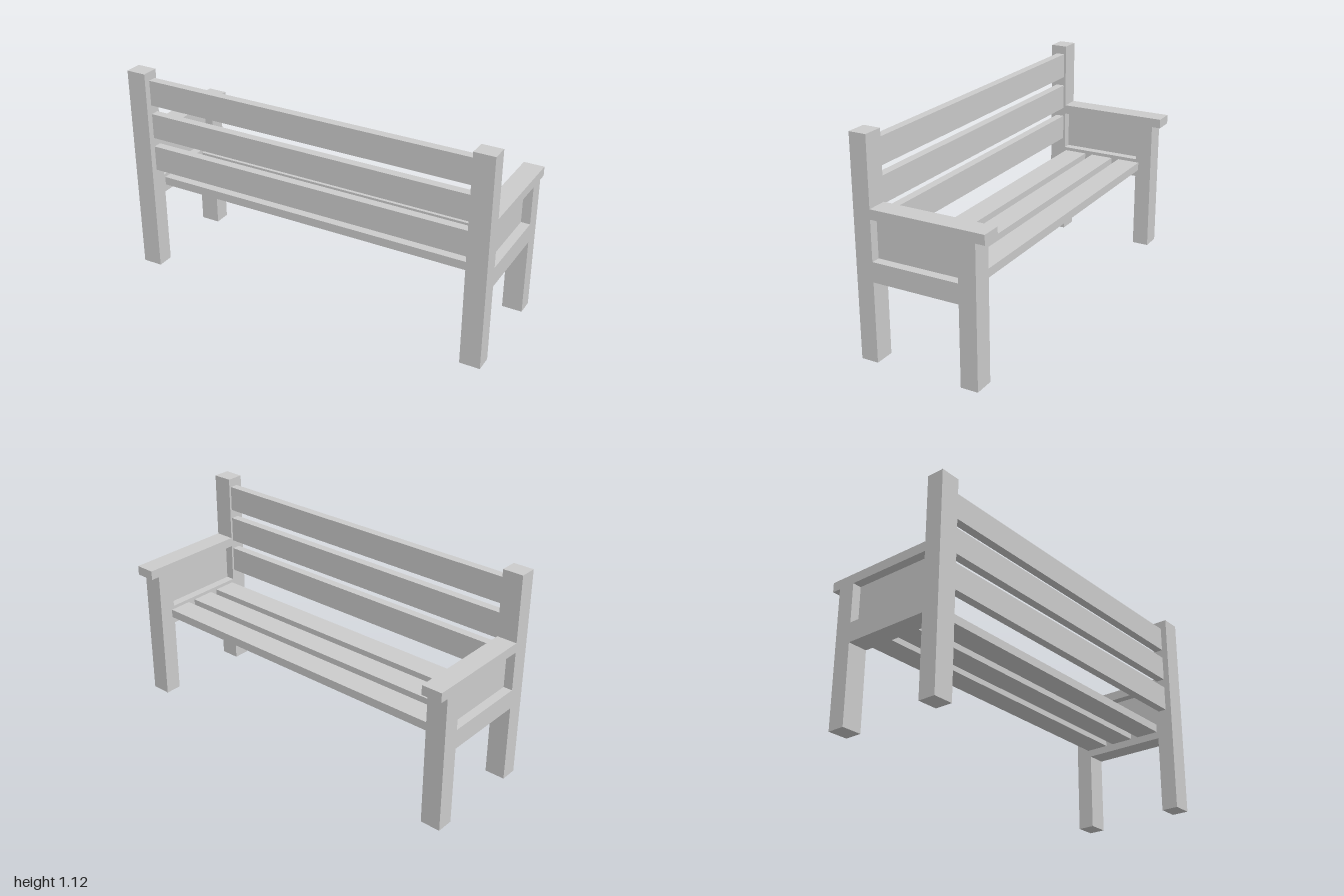
import * as THREE from 'three';

const material = new THREE.MeshStandardMaterial({ color: 0xcccccc, flatShading: true });

// Box spanning the given [min, max] range on each axis
function addBox(parent, name, [x0, x1], [y0, y1], [z0, z1]) {
  const mesh = new THREE.Mesh(new THREE.BoxGeometry(x1 - x0, y1 - y0, z1 - z0), material);
  mesh.position.set((x0 + x1) / 2, (y0 + y1) / 2, (z0 + z1) / 2);
  mesh.name = name;
  parent.add(mesh);
}

export function createModel() {
  const bench = new THREE.Group();
  bench.name = 'bench';

  // Side frames: posts, rail, armrest and thin recessed panel
  for (const side of [-1, 1]) {
    const frame = new THREE.Group();
    frame.name = side > 0 ? 'leftSideFrame' : 'rightSideFrame';
    const inner = 0.893;
    const width = side > 0 ? [inner, 1] : [-1, -inner];
    const mid = side * (1 + inner) / 2;
    addBox(frame, 'backrestPost', width, [0, 1.125], [0.254, 0.345]);
    addBox(frame, 'seatLeg', width, [0, 0.725], [-0.297, -0.206]);
    addBox(frame, 'sideRail', width, [0.416, 0.518], [-0.206, 0.254]);
    addBox(frame, 'armrest', width, [0.725, 0.775], [-0.345, 0.254]);
    addBox(frame, 'sidePanel', [mid - 0.006, mid + 0.006], [0.518, 0.725], [-0.206, 0.254]);
    bench.add(frame);
  }

  // Seat and backrest slats between the frames
  const span = [-0.893, 0.893];
  for (let i = 0; i < 3; i++) {
    const z = -0.222 + i * 0.17;
    addBox(bench, 'seatSlat', span, [0.455, 0.5], [z, z + 0.127]);
    const y = 0.573 + i * 0.185;
    addBox(bench, 'backrestSlat', span, [y, y + 0.136], [0.266, 0.311]);
  }
  return bench;
}
